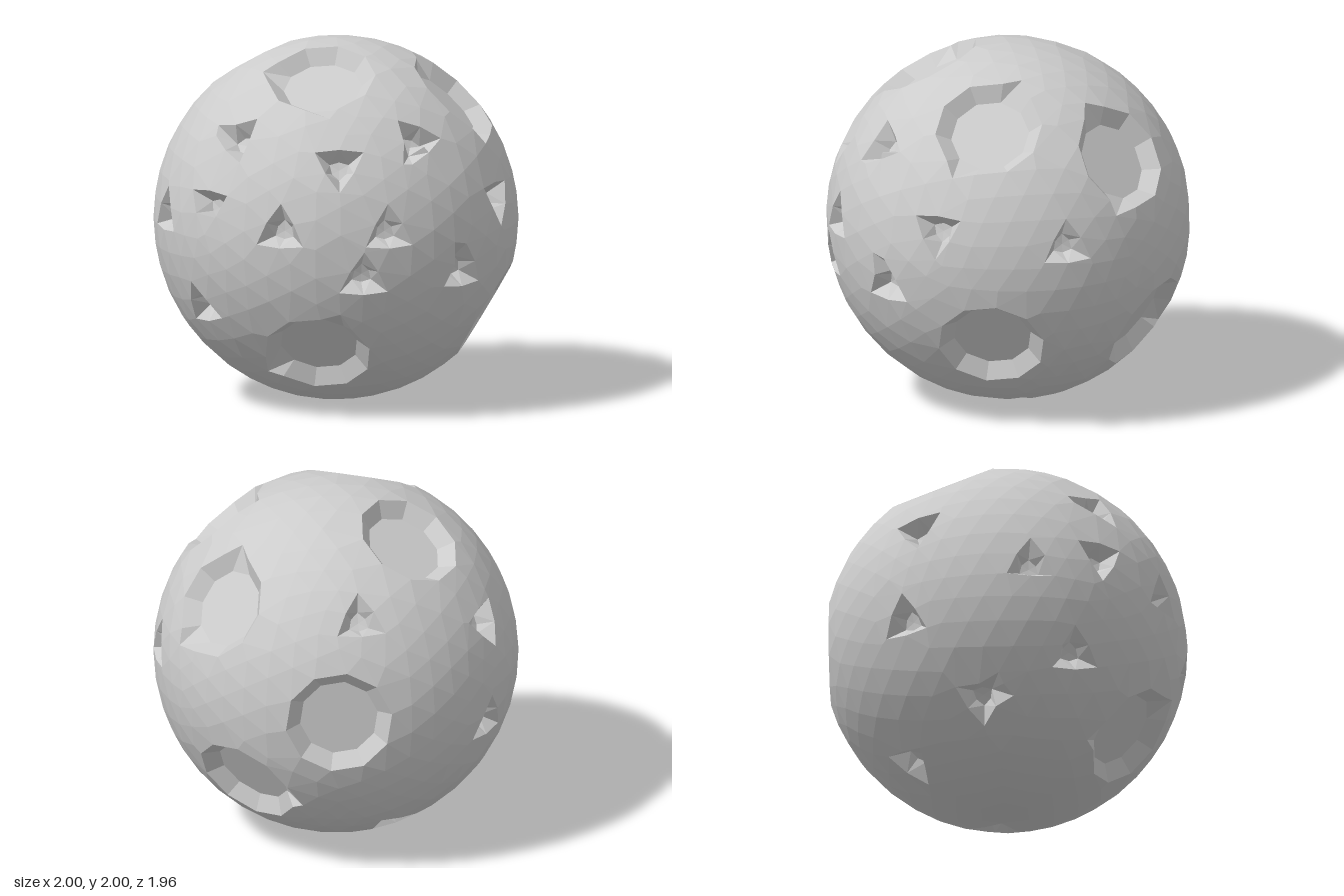
import * as THREE from 'three';
import { ConvexGeometry } from 'three/addons/geometries/ConvexGeometry.js';

// Wide ten-sided craters: direction from the ball's centre
const WIDE = [
  [-0.22, -0.65, 0.72], [-0.15, 0.89, 0.43], [0.61, 0.69, 0.22], [-0.41, 0.84, -0.34],
  [0.63, 0.5, -0.5], [0.79, -0.48, 0.24], [0.5, -0.48, -0.66], [0, 0, -1],
];

// Small three-cornered craters: direction, then clockwise turn of the first corner from north (degrees)
const SMALL = [
  [0, -0.17, 0.98, 0], [0.14, 0.09, 0.98, 0], [0.58, -0.17, 0.78, 0], [0.8, 0.18, 0.54, 180],
  [0.33, 0.55, 0.75, -30], [-0.12, 0.45, 0.88, 180], [-0.79, 0.18, 0.55, 180], [-0.63, 0.55, 0.53, -90],
  [-0.45, 0.09, 0.88, 0], [-0.81, -0.4, 0.42, -10], [0.97, 0.11, -0.15, 0], [0.25, -0.95, -0.05, 180],
  [-0.29, -0.81, -0.5, 195], [-0.12, 0.55, -0.82, 0], [-0.82, 0.37, -0.45, 170], [-0.83, -0.19, -0.52, 0],
  [-0.96, 0.08, 0.18, 0], [-0.75, -0.64, -0.1, 180],
];

// Ring of points around an axis at a height above the centre; radii are cycled
function ring(axis, radii, heights, count, turn = 0) {
  const east = new THREE.Vector3(0, 1, 0).cross(axis).normalize();
  const north = axis.clone().cross(east);
  return Array.from({ length: count }, (_, i) => {
    const a = turn + (i / count) * Math.PI * 2;
    const r = radii[i % radii.length];
    return axis.clone().multiplyScalar(heights[i % heights.length])
      .addScaledVector(north, Math.cos(a) * r)
      .addScaledVector(east, Math.sin(a) * r);
  });
}

const onBall = (r) => Math.sqrt(1 - r * r);
const key = (v) => [v.x, v.y, v.z].map((n) => Math.round(n * 1e5)).join();

export function createModel() {
  const points = [];
  const craters = [];

  // Wide craters: rim, flat floor ring and floor centre
  for (const d of WIDE) {
    const axis = new THREE.Vector3(...d).normalize();
    craters.push({ axis, clear: 0.35 });
    points.push(
      ...ring(axis, [0.295], [onBall(0.295)], 10, 0.15),
      ...ring(axis, [0.215], [0.885], 10, 0.15),
      axis.clone().multiplyScalar(0.885),
    );
  }

  // Small craters: bulged triangular rim, small sunken floor
  for (const [x, y, z, turn] of SMALL) {
    const axis = new THREE.Vector3(x, y, z).normalize();
    const t = THREE.MathUtils.degToRad(turn);
    craters.push({ axis, clear: 0.18 });
    points.push(
      ...ring(axis, [0.155, 0.09], [onBall(0.155), onBall(0.09)], 6, t),
      ...ring(axis, [0.06, 0.045], [0.905], 6, t),
      axis.clone().multiplyScalar(0.9),
    );
  }

  // Ball surface between the craters
  const ball = new THREE.IcosahedronGeometry(1, 7).attributes.position;
  const seen = new Set();
  for (let i = 0; i < ball.count; i++) {
    const p = new THREE.Vector3().fromBufferAttribute(ball, i).normalize();
    if (seen.has(key(p))) continue;
    seen.add(key(p));
    if (craters.every((c) => c.axis.distanceTo(p) > c.clear)) points.push(p);
  }

  // Join the points as if all lay on the ball, then move each to its own depth
  const depth = new Map();
  const directions = points.map((p) => {
    const dir = p.clone().normalize();
    depth.set(key(dir), p.length());
    return dir;
  });
  const geometry = new ConvexGeometry(directions);
  const pos = geometry.attributes.position;
  const v = new THREE.Vector3();
  for (let i = 0; i < pos.count; i++) {
    v.fromBufferAttribute(pos, i);
    v.multiplyScalar(depth.get(key(v)) ?? 1);
    pos.setXYZ(i, v.x, v.y, v.z);
  }
  geometry.computeVertexNormals();

  const mesh = new THREE.Mesh(
    geometry,
    new THREE.MeshStandardMaterial({ color: 0xcccccc, flatShading: true }),
  );
  mesh.name = 'crateredBall';
  mesh.position.y = 1;

  const group = new THREE.Group();
  group.name = 'moon';
  group.add(mesh);
  return group;
}
